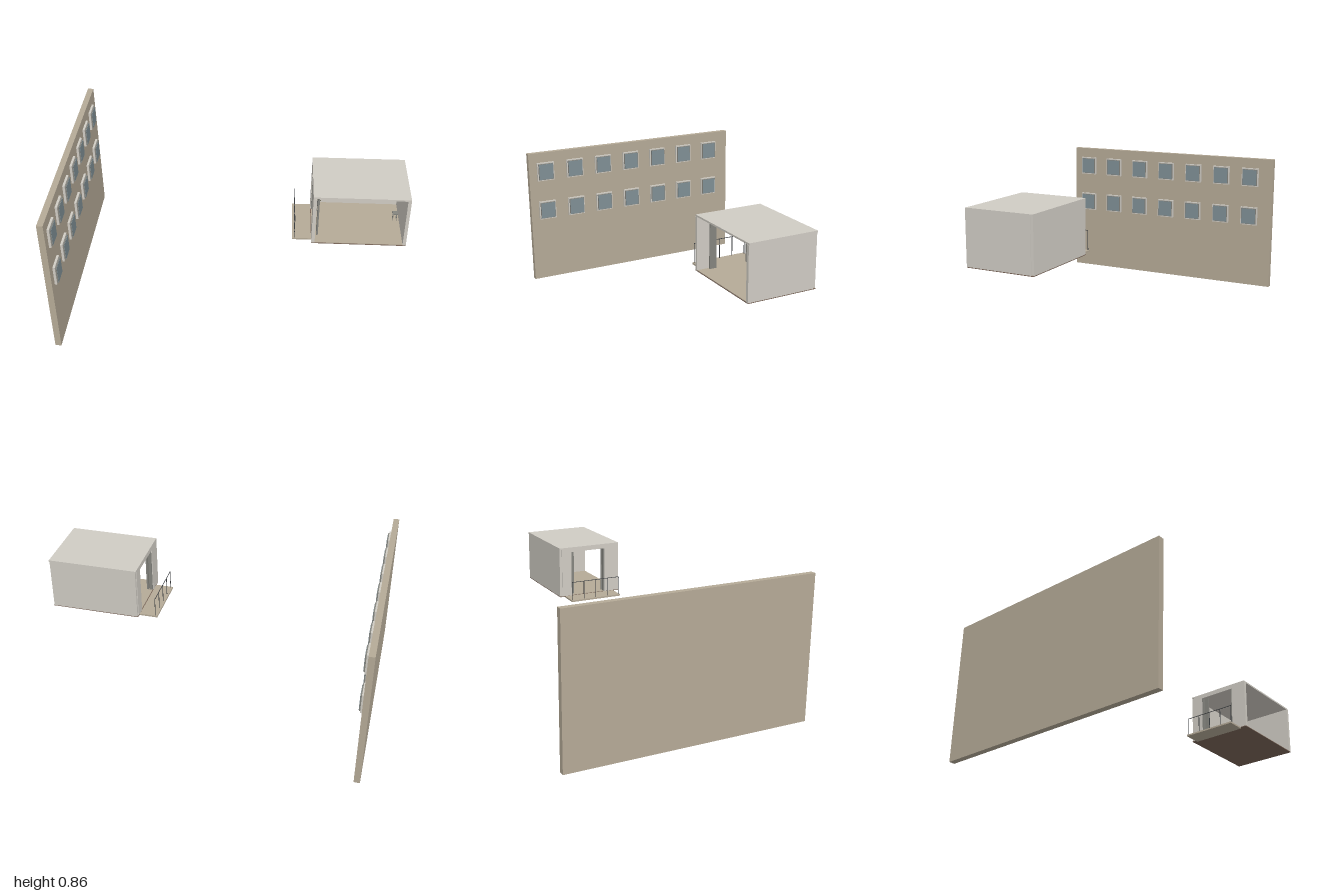
import * as THREE from 'three';

const mat = (name, color) => {
  const m = new THREE.MeshStandardMaterial({ color });
  m.name = name;
  return m;
};

export function createModel() {
  const root = new THREE.Group();
  root.name = 'apartmentSet';
  const sand = mat('sandPlaster', 0xb5aa97);
  const pale = mat('paleWall', 0xd0ccc4);
  const glass = mat('windowGlass', 0x7f8f95);
  const under = mat('darkUnderside', 0x7a6558);
  const metal = mat('darkMetal', 0x3a3d40);
  const grey = mat('greyFrame', 0x85857f);
  const leaf = mat('plantLeaf', 0x46442e);
  const wood = mat('wood', 0x8a7355);

  // Box given by its minimum and maximum corners
  const box = (parent, name, m, x0, x1, y0, y1, z0, z1) => {
    const mesh = new THREE.Mesh(new THREE.BoxGeometry(x1 - x0, y1 - y0, z1 - z0), m);
    mesh.position.set((x0 + x1) / 2, (y0 + y1) / 2, (z0 + z1) / 2);
    mesh.name = name;
    parent.add(mesh);
    return mesh;
  };
  const group = (name) => {
    const g = new THREE.Group();
    g.name = name;
    root.add(g);
    return g;
  };

  // Opposite facade with two rows of windows
  const facade = group('facade');
  box(facade, 'facadeWall', sand, -1, -0.965, 0, 0.86, -0.74, 0.74);
  for (const y of [0.475, 0.736]) {
    for (let i = 0; i < 7; i++) {
      const z = 0.63 - i * 0.203;
      const w = group('facadeWindow');
      facade.add(w);
      box(w, 'windowSurround', pale, -0.965, -0.952, y - 0.06, y + 0.06, z - 0.057, z + 0.057);
      box(w, 'windowFrame', grey, -0.952, -0.945, y - 0.053, y + 0.053, z - 0.05, z + 0.05);
      box(w, 'windowPane', glass, -0.945, -0.943, y - 0.05, y + 0.05, z - 0.047, z + 0.047);
    }
  }

  // Room shell, open at the front
  const room = group('room');
  box(room, 'floorBase', under, 0.452, 0.997, 0.453, 0.457, -0.125, 0.29);
  box(room, 'floorTop', sand, 0.456, 0.993, 0.457, 0.46, -0.123, 0.288);
  box(room, 'roof', pale, 0.452, 0.997, 0.765, 0.775, -0.125, 0.288);
  box(room, 'backWall', pale, 0.456, 0.993, 0.457, 0.765, -0.125, -0.11);
  box(room, 'sideWall', pale, 0.978, 0.997, 0.457, 0.765, -0.11, 0.29);

  // Doorway wall: two piers and a lintel
  box(room, 'doorPier', pale, 0.452, 0.472, 0.457, 0.765, -0.11, -0.045);
  box(room, 'doorPier', pale, 0.452, 0.472, 0.457, 0.765, 0.19, 0.29);
  box(room, 'doorLintel', pale, 0.452, 0.472, 0.745, 0.765, -0.045, 0.19);
  for (const z of [-0.045, 0.182]) {
    box(room, 'doorJamb', grey, 0.456, 0.476, 0.46, 0.745, z, z + 0.008);
  }

  // Narrow door leaves folded beside the opening
  for (const z of [-0.055, 0.18]) {
    box(room, 'doorLeaf', grey, 0.482, 0.492, 0.46, 0.755, z, z + 0.04);
  }

  // Balcony with slender railing
  const balcony = group('balcony');
  box(balcony, 'balconySlab', sand, 0.342, 0.455, 0.446, 0.456, -0.09, 0.25);
  const railX = 0.355;
  box(balcony, 'handrail', metal, railX - 0.0015, railX + 0.0015, 0.57, 0.573, -0.085, 0.245);
  for (let i = 0; i < 5; i++) {
    const z = -0.084 + i * 0.082;
    box(balcony, 'railPost', metal, railX - 0.0015, railX + 0.0015, 0.456, 0.57, z - 0.0015, z + 0.0015);
  }

  // Potted plant by the doorway
  const plant = group('plant');
  plant.position.set(0.5, 0.46, -0.075);
  const pot = new THREE.Mesh(new THREE.CylinderGeometry(0.012, 0.009, 0.025, 12), metal);
  pot.position.y = 0.0125;
  pot.name = 'plantPot';
  const stem = new THREE.Mesh(new THREE.CylinderGeometry(0.002, 0.003, 0.06, 6), wood);
  stem.position.y = 0.05;
  stem.name = 'plantStem';
  plant.add(pot, stem);
  for (let i = 0; i < 14; i++) {
    const a = i * 2.4;
    const blade = new THREE.Mesh(new THREE.SphereGeometry(0.009, 6, 4), leaf);
    blade.scale.set(1, 0.35, 0.5);
    blade.position.set(Math.cos(a) * 0.009, 0.036 + i * 0.0045, -Math.sin(a) * 0.009);
    blade.rotation.set(0, a, 0.5);
    blade.name = 'plantLeaf';
    plant.add(blade);
  }

  // Small side table near the solid wall
  const table = group('sideTable');
  box(table, 'tableTop', grey, 0.936, 0.968, 0.507, 0.512, 0.03, 0.062);
  for (const x of [0.94, 0.961]) {
    for (const z of [0.034, 0.055]) box(table, 'tableLeg', grey, x, x + 0.003, 0.46, 0.507, z, z + 0.003);
  }
  return root;
}
